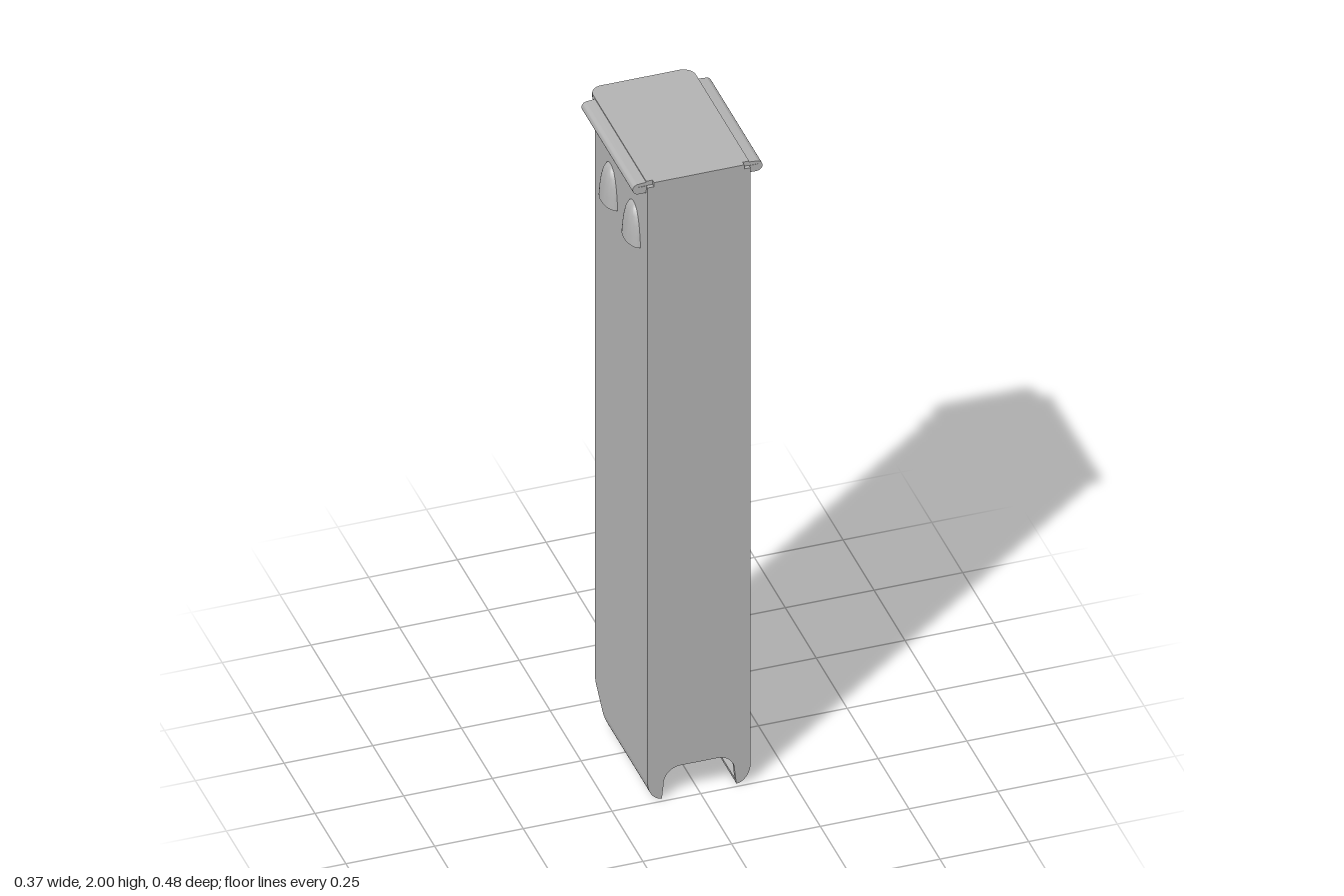
import * as THREE from 'three';
import { toCreasedNormals } from 'three/addons/utils/BufferGeometryUtils.js';

const W = 0.145, T = 0.012, FRONT = 0.237, BACK = -0.228, SEAM = -0.18, TOP = 1.986, CURL = 0.06;
const grey = new THREE.MeshStandardMaterial({ color: 0xb2b2b2, side: THREE.DoubleSide });
grey.name = 'grey metal';

// Height of the slanted rear cut at depth z
const cutY = (z) => CURL + (-0.13 - z) * 1.05;

function extrude(shape, depth) {
  return new THREE.ExtrudeGeometry(shape, { depth, bevelEnabled: false, curveSegments: 10 });
}

function polygon(points) {
  return new THREE.Shape(points.map(([x, y]) => new THREE.Vector2(x, y)));
}

// Upright rounded slot in the side panel's plane
function slot(s, y, w, h) {
  const p = new THREE.Path(), r = w / 2, k = h / 2 - r;
  p.moveTo(s + r, y - k);
  p.lineTo(s + r, y + k);
  p.absarc(s, y + k, r, 0, Math.PI, false);
  p.lineTo(s - r, y - k);
  p.absarc(s, y - k, r, Math.PI, Math.PI * 2, false);
  return p;
}

// Side panel drawn with its horizontal axis equal to -z
function sidePanel(withSlots) {
  const s = polygon([[-FRONT, CURL], [0.13, CURL], [-SEAM, cutY(SEAM)], [-SEAM, TOP], [-FRONT, TOP]]);
  if (withSlots) {
    for (const z of [0.052, 0, -0.055]) s.holes.push(slot(-z, 1.652, 0.04, 0.098));
    for (const y of [1.28, 0.925, 0.575]) s.holes.push(slot(0.057, y, 0.042, 0.095));
    s.holes.push(polygon([[-0.2, 1.405], [-0.048, 1.405], [-0.048, 1.452], [-0.2, 1.452]]));
  }
  return extrude(s, T).rotateY(Math.PI / 2);
}

// Rounded rear wall, trimmed along the slanted cut
function rearWall() {
  const r = 0.048, b = -BACK, s = new THREE.Shape();
  s.moveTo(W, -SEAM);
  s.absarc(W - r, b - r, r, 0, Math.PI / 2, false);
  s.absarc(-W + r, b - r, r, Math.PI / 2, Math.PI, false);
  s.lineTo(-W + T, -SEAM);
  s.absarc(-W + r, b - r, r - T, Math.PI, Math.PI / 2, true);
  s.absarc(W - r, b - r, r - T, Math.PI / 2, 0, true);
  const g = extrude(s, TOP).rotateX(-Math.PI / 2), p = g.attributes.position;
  for (let i = 0; i < p.count; i++) if (p.getY(i) < 1) p.setY(i, cutY(p.getZ(i)));
  return toCreasedNormals(g, 0.6);
}

// Inward curl along the lower edge of a side
function curl() {
  const outer = [], inner = [];
  for (let i = 0; i <= 8; i++) {
    const a = (i / 8) * 1.4, c = Math.cos(a), d = Math.sin(a);
    outer.push([W - 0.048 + 0.048 * c, CURL - 0.055 * d]);
    inner.unshift([W - 0.048 + 0.036 * c, CURL - 0.043 * d]);
  }
  const g = extrude(polygon([...outer, ...inner]), 1), p = g.attributes.position;
  for (let i = 0; i < p.count; i++) {
    p.setZ(i, p.getZ(i) > 0.5 ? FRONT : -0.13 + (CURL - p.getY(i)) * 0.9);
  }
  return toCreasedNormals(g, 0.6);
}

// Front wall with an arched notch at the bottom
function frontWall() {
  const s = new THREE.Shape();
  s.moveTo(-W, TOP);
  s.lineTo(-W, CURL);
  s.bezierCurveTo(-W, 0.03, -0.125, 0.005, -0.105, 0.005);
  s.lineTo(-0.1, 0.05);
  s.absarc(-0.052, 0.052, 0.048, Math.PI, Math.PI / 2, true);
  s.absarc(0.052, 0.052, 0.048, Math.PI / 2, 0, true);
  s.lineTo(0.105, 0.005);
  s.bezierCurveTo(0.125, 0.005, W, 0.03, W, CURL);
  s.lineTo(W, TOP);
  return toCreasedNormals(extrude(s, T), 0.6);
}

// Top plate with rounded rear corners
function lidPlate() {
  const r = 0.035, b = 0.24, s = new THREE.Shape();
  s.moveTo(-0.127, -0.238);
  s.lineTo(0.127, -0.238);
  s.lineTo(0.127, -0.225);
  s.lineTo(W, -0.225);
  s.absarc(W - r, b - r, r, 0, Math.PI / 2, false);
  s.absarc(-W + r, b - r, r, Math.PI / 2, Math.PI, false);
  s.lineTo(-W, -0.225);
  s.lineTo(-0.127, -0.225);
  return toCreasedNormals(extrude(s, 0.015).rotateX(-Math.PI / 2), 0.6);
}

// Lid edge wrapped around the body flange
function rail() {
  const s = new THREE.Shape();
  s.moveTo(W, 1.963);
  s.lineTo(0.167, 1.963);
  s.absarc(0.167, 1.979, 0.016, -Math.PI / 2, Math.PI / 2, false);
  s.lineTo(0.127, 1.998);
  s.lineTo(0.127, 1.986);
  s.lineTo(W, 1.986);
  return toCreasedNormals(extrude(s, 0.414).translate(0, 0, -0.189), 0.6);
}

// Pressed half dome, flat underneath
function bump() {
  const pts = [[0, 0], [1, 0], [1, 0], [0.93, 0.27], [0.82, 0.53], [0.66, 0.75], [0.45, 0.91], [0.22, 0.98], [0, 1]];
  const g = new THREE.LatheGeometry(pts.map(([x, y]) => new THREE.Vector2(x, y)), 16, 0, Math.PI);
  return toCreasedNormals(g.scale(0.028, 0.115, 0.058), 0.7);
}

// Coiled inner wire following a rounded rectangle
function spring() {
  const pts = [], turns = 9, n = 24;
  const soft = (v) => Math.sign(v) * Math.sqrt(Math.abs(v));
  for (let i = 0; i <= turns * n; i++) {
    const a = (i / n) * Math.PI * 2;
    pts.push(new THREE.Vector3(0.105 * soft(Math.cos(a)), 0.5 + 1.4 * i / (turns * n), 0.19 * soft(Math.sin(a))));
  }
  return new THREE.TubeGeometry(new THREE.CatmullRomCurve3(pts), turns * n, 0.011, 6);
}

export function createModel() {
  const model = new THREE.Group();
  model.name = 'slottedCase';
  const add = (name, geometry, x = 0, y = 0, z = 0) => {
    const mesh = new THREE.Mesh(geometry, grey);
    mesh.name = name;
    mesh.position.set(x, y, z);
    model.add(mesh);
    return mesh;
  };

  // Hollow body
  add('leftPanel', sidePanel(true), W - T);
  add('rightPanel', sidePanel(false), -W);
  add('rearWall', rearWall());
  add('frontWall', frontWall(), 0, 0, FRONT - T);
  add('innerSpring', spring());

  // Lid
  add('lidPlate', lidPlate(), 0, 1.985, 0);

  // Mirrored edges and bumps
  const curlShape = curl(), railShape = rail(), bumpShape = bump();
  for (const side of [1, -1]) {
    const label = side > 0 ? 'left' : 'right';
    add(label + 'LowerCurl', curlShape).scale.x = side;
    add(label + 'LidRail', railShape).scale.x = side;
    add(label + 'Flange', new THREE.BoxGeometry(0.03, 0.013, 0.42), side * 0.155, 1.979, 0.016);
    for (const z of [0.122, -0.063]) {
      add(label + 'Bump', bumpShape, side * (W - 0.001), 1.755, z).scale.x = side;
    }
  }
  return model;
}
